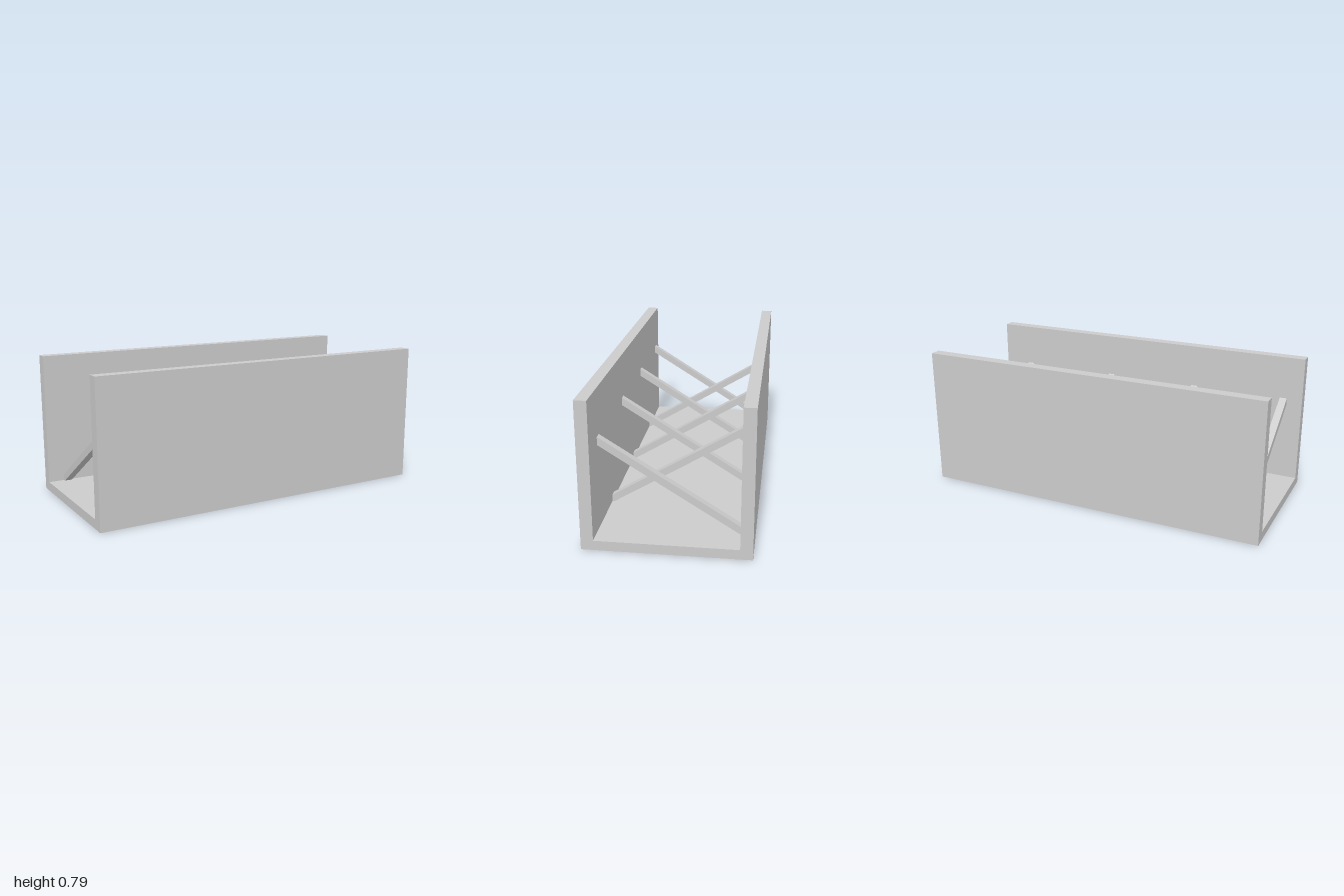
import * as THREE from 'three';

export function createModel() {
  const group = new THREE.Group();
  const material = new THREE.MeshStandardMaterial({ color: 0xcccccc, flatShading: true });
  const add = (name, geometry, x, y, z) => {
    const mesh = new THREE.Mesh(geometry, material);
    mesh.name = name;
    mesh.position.set(x, y, z);
    group.add(mesh);
  };

  const length = 2, height = 0.788, halfDepth = 0.43, inner = 0.366, floorTop = 0.052;
  const wall = halfDepth - inner;

  // Open channel: floor between two tall side walls
  add('floor', new THREE.BoxGeometry(length, floorTop, inner * 2), 0, floorTop / 2, 0);
  for (const [name, side] of [['frontWall', 1], ['backWall', -1]]) {
    add(name, new THREE.BoxGeometry(length, height, wall), 0, height / 2, side * (inner + wall / 2));
  }

  // Slanted brace with vertical ends flush to the walls; side is the z sign of its high end
  const barWidth = 0.042, barRise = 0.044;
  function brace(side, highY, lowY) {
    const shape = new THREE.Shape([
      [-inner * side, highY], [inner * side, lowY],
      [inner * side, lowY + barRise], [-inner * side, highY + barRise],
    ].map(([u, y]) => new THREE.Vector2(u, y)));
    const geometry = new THREE.ExtrudeGeometry(shape, { depth: barWidth, bevelEnabled: false });
    return geometry.translate(0, 0, -barWidth / 2).rotateY(Math.PI / 2);
  }

  // Braces alternate in direction along the channel
  for (const x of [-0.89, -0.34, 0.22, 0.817]) add('frontHighBrace', brace(1, 0.499, 0.042), x, 0, 0);
  for (const x of [-0.62, -0.06, 0.537]) add('backHighBrace', brace(-1, 0.487, 0.045), x, 0, 0);

  return group;
}
